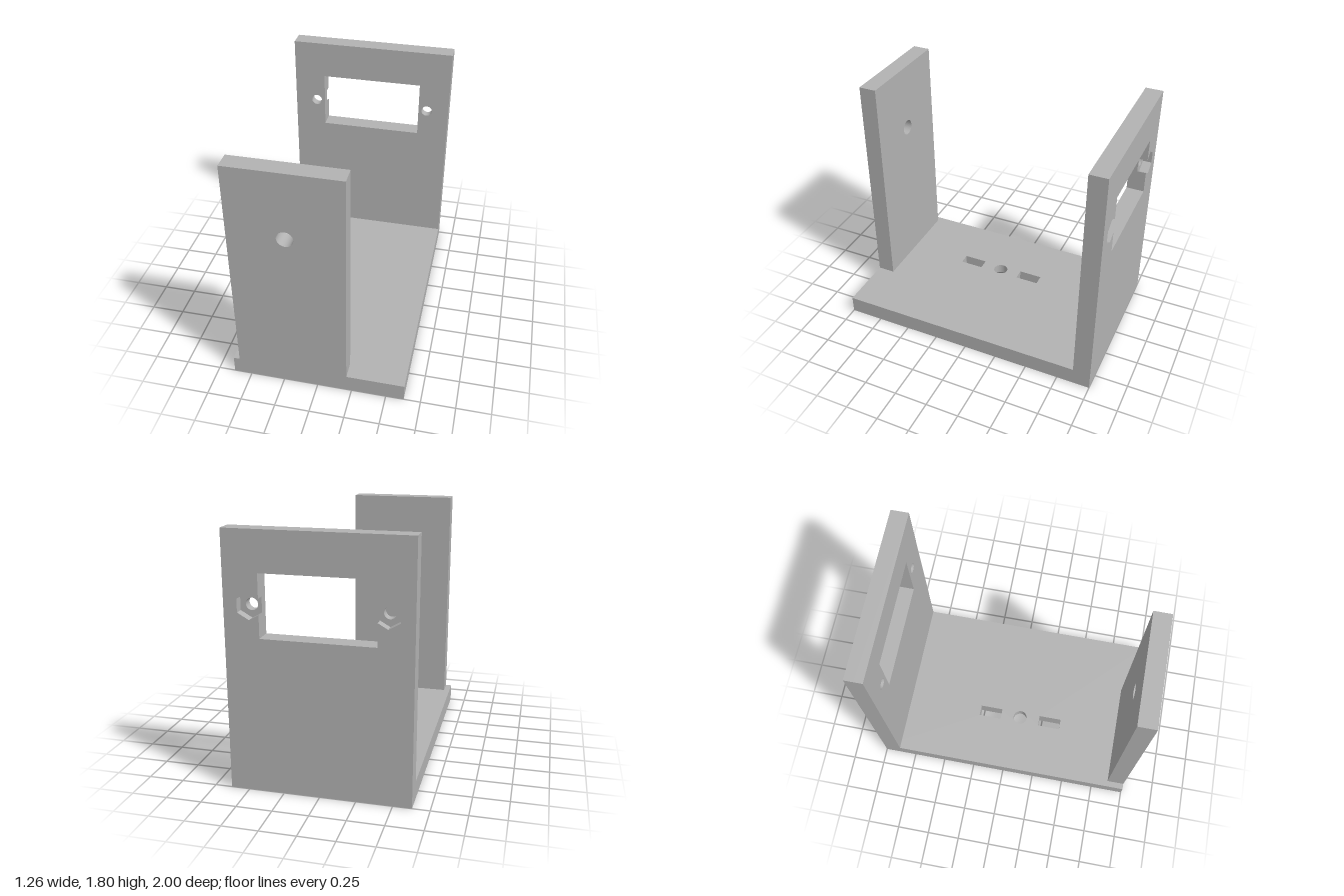
import * as THREE from 'three';

const W = 0.63, T = 0.13, H = 1.8;   // half width, plate thickness, height
const holeY = 1.3, screwX = 0.457;

const outline = (Kind, pts) => new Kind(pts.map(([x, y]) => new THREE.Vector2(x, y)));
const rect = (Kind, x0, y0, x1, y1) => outline(Kind, [[x0, y0], [x1, y0], [x1, y1], [x0, y1]]);
const circle = (x, y, r) => new THREE.Path().absarc(x, y, r, 0, Math.PI * 2, false);

export function createModel() {
  const model = new THREE.Group();
  model.name = 'mountingBracket';
  const grey = new THREE.MeshStandardMaterial({ color: 0xb2b2b2, side: THREE.DoubleSide });
  grey.name = 'grey plastic';

  const add = (name, geometry) => {
    const mesh = new THREE.Mesh(geometry, grey);
    mesh.name = name;
    model.add(mesh);
    return mesh;
  };
  const plate = (shape, holes, depth) => {
    shape.holes.push(...holes);
    return new THREE.ExtrudeGeometry(shape, { depth, bevelEnabled: false, curveSegments: 32 });
  };

  // Base: two layers with slots and a hole that widens below
  const cx = -0.185, cz = 0.065, sink = 0.055;
  const baseLayer = (name, r, y, depth) => {
    const slots = [[-0.275, -0.095], [0.225, 0.405]].map(([z0, z1]) =>
      rect(THREE.Path, cx - 0.042, -z1, cx + 0.042, -z0));
    const g = plate(rect(THREE.Shape, -W, -1, W, 1), [...slots, circle(cx, -cz, r)], depth);
    add(name, g.rotateX(-Math.PI / 2).translate(0, y, 0));
  };
  baseLayer('baseLower', 0.105, 0, sink);
  baseLayer('baseUpper', 0.055, sink, T - sink);
  add('countersink', new THREE.CylinderGeometry(0.055, 0.105, sink, 48, 1, true)
    .translate(cx, sink / 2, cz));

  // Front panel with shaft hole
  add('frontPanel', plate(rect(THREE.Shape, -0.585, T, 0.212, H),
    [circle(-0.187, holeY, 0.058)], T).translate(0, 0, 1 - T));

  // Back wall, inner layer: window and two screw holes
  const wx = 0.39, w0 = 1.087, w1 = 1.52;
  add('backWallInner', plate(rect(THREE.Shape, -W, T, W, H), [
    rect(THREE.Path, -wx, w0, wx, w1),
    circle(-screwX, holeY, 0.042), circle(screwX, holeY, 0.042),
  ], T / 2).translate(0, 0, -1 + T / 2));

  // Back wall, outer layer: window joined with hexagonal nut pockets
  const side = [[wx, -0.0535], [screwX, -0.092], [screwX + 0.08, -0.046],
    [screwX + 0.08, 0.046], [screwX, 0.092], [wx, 0.0535]];
  const right = side.map(([x, y]) => [x, holeY + y]);
  const left = right.map(([x, y]) => [-x, y]).reverse();
  add('backWallOuter', plate(rect(THREE.Shape, -W, T, W, H), [
    outline(THREE.Path, [[-wx, w0], [wx, w0], ...right, [wx, w1], [-wx, w1], ...left]),
  ], T / 2).translate(0, 0, -1));

  return model;
}
